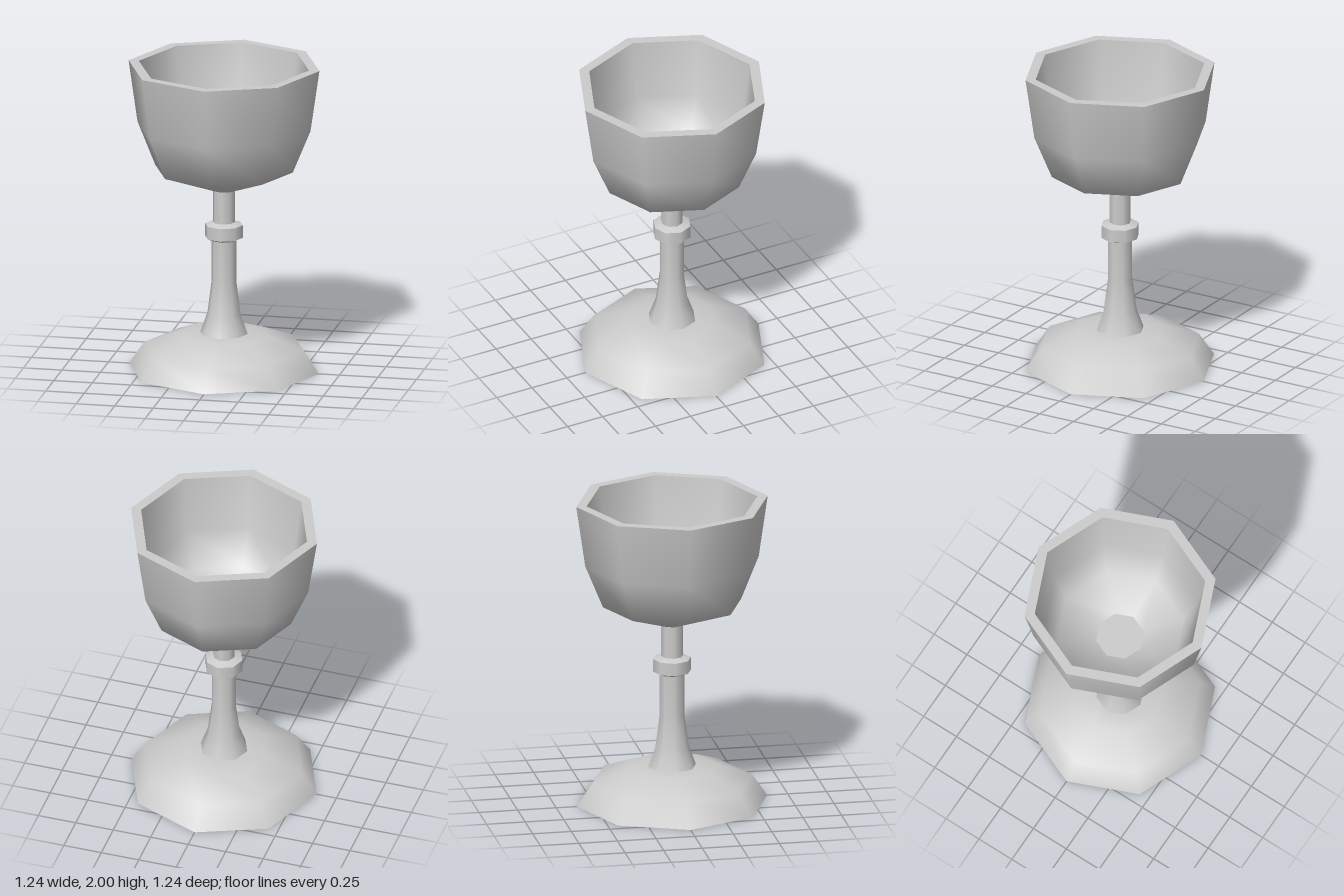
import * as THREE from 'three';
import { mergeGeometries } from 'three/addons/utils/BufferGeometryUtils.js';

const SIDES = 8;

// Each run is one smooth stretch of profile [radius, y]; runs meet in sharp edges.
function turned(name, runs, material) {
  const parts = runs.map((run) =>
    new THREE.LatheGeometry(run.map(([r, y]) => new THREE.Vector2(r, y)), SIDES));
  const mesh = new THREE.Mesh(mergeGeometries(parts), material);
  mesh.name = name;
  return mesh;
}

export function createModel() {
  const material = new THREE.MeshStandardMaterial({ color: 0xcccccc });
  const goblet = new THREE.Group();
  goblet.name = 'goblet';

  goblet.add(
    // Domed foot with flat underside
    turned('foot', [
      [[0, 0], [0.617, 0]],
      [[0.617, 0], [0.52, 0.145], [0.285, 0.235], [0.14, 0.237]],
    ], material),

    // Stem flaring out towards the foot
    turned('lowerStem', [
      [[0.155, 0.235], [0.108, 0.365], [0.08, 0.58], [0.08, 0.855]],
    ], material),

    // Chamfered ring around the stem
    turned('stemRing', [
      [[0.08, 0.852], [0.122, 0.87]],
      [[0.122, 0.87], [0.122, 0.953]],
      [[0.122, 0.953], [0.07, 0.97]],
    ], material),

    turned('upperStem', [[[0.07, 0.965], [0.07, 1.185]]], material),

    // Bowl: outer wall, rim, inner wall and floor
    turned('bowl', [
      [[0, 1.18], [0.07, 1.18]],
      [[0.07, 1.18], [0.447, 1.32], [0.562, 1.6], [0.62, 2]],
      [[0.62, 2], [0.553, 2]],
      [[0.553, 2], [0.5, 1.62], [0.41, 1.38], [0.155, 1.28]],
      [[0.155, 1.28], [0, 1.28]],
    ], material),
  );
  return goblet;
}
